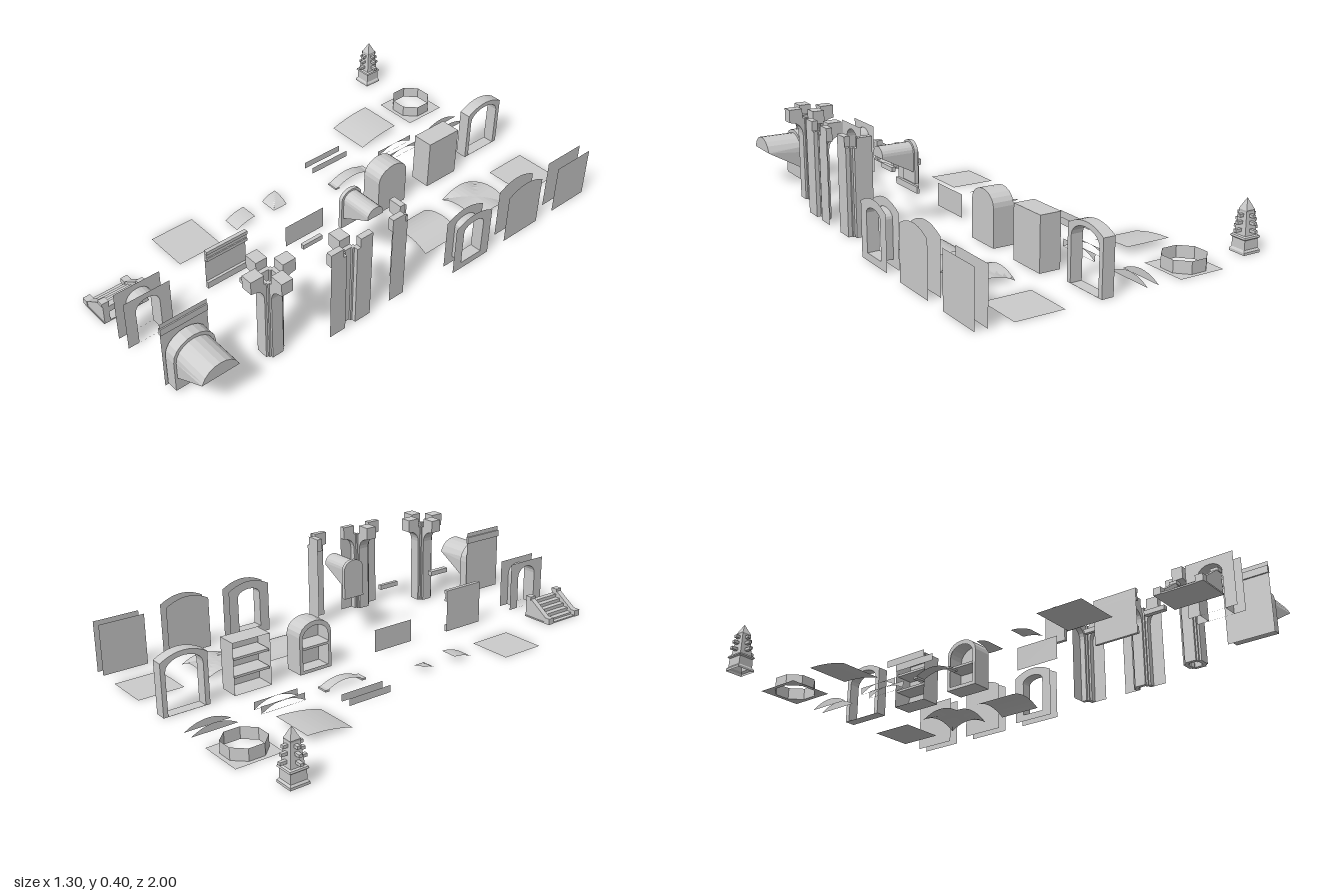
import * as THREE from 'three';

const mat = new THREE.MeshStandardMaterial({ color: 0xcccccc, flatShading: true, side: THREE.DoubleSide });

export function createModel() {
  const root = new THREE.Group();
  const add = (name, geo, x = 0, y = 0, z = 0) => {
    const m = new THREE.Mesh(geo, mat);
    m.name = name;
    m.position.set(x, y, z);
    root.add(m);
    return m;
  };
  // box given by its limits
  const box = (name, x0, x1, y0, y1, z0, z1) =>
    add(name, new THREE.BoxGeometry(x1 - x0, y1 - y0, z1 - z0), (x0 + x1) / 2, (y0 + y1) / 2, (z0 + z1) / 2);
  // outline with an arched top: width w, springing at s, crown at h
  const archPoints = (w, y0, s, h, n = 10) => {
    const p = [[-w / 2, y0], [w / 2, y0]];
    for (let i = 0; i <= n; i++) {
      const a = (i / n) * Math.PI;
      p.push([Math.cos(a) * w / 2, s + (h - s) * Math.sin(a)]);
    }
    return p.map(([a, b]) => new THREE.Vector2(a, b));
  };
  const arch = (...a) => new THREE.Shape(archPoints(...a));
  // shallow segmental top
  const segment = (w, y0, s, h, n = 10) => {
    const p = [new THREE.Vector2(-w / 2, y0), new THREE.Vector2(w / 2, y0)];
    for (let i = 0; i <= n; i++) {
      const t = 1 - 2 * i / n;
      p.push(new THREE.Vector2(t * w / 2, s + (h - s) * (1 - t * t)));
    }
    return new THREE.Shape(p);
  };
  const rect = (w, y0, y1) => segment(w, y0, y1, y1, 1);
  // flat wall facing x, drawn in z and y
  const pane = (name, shape, x, z) => add(name, new THREE.ShapeGeometry(shape).rotateY(-Math.PI / 2), x, 0, z);
  // solid drawn in z and y, running from x0 to x1
  const solidX = (name, shape, x0, x1, z) =>
    add(name, new THREE.ExtrudeGeometry(shape, { depth: x1 - x0, bevelEnabled: false }).rotateY(-Math.PI / 2), x1, 0, z);
  // horizontal sheet lifted by a height rule of u and v in -1..1
  const sheet = (name, x, z, w, d, rule = () => 0) => {
    const g = new THREE.PlaneGeometry(w, d, 10, 10).rotateX(-Math.PI / 2);
    const p = g.attributes.position;
    for (let i = 0; i < p.count; i++) p.setY(i, rule(p.getX(i) * 2 / w, p.getZ(i) * 2 / d));
    return add(name, g, x, 0, z);
  };

  // Spire: lathed square tower with spikes on three levels
  const profile = [[.04, 0], [.04, .01], [.034, .018], [.033, .055], [.039, .06], [.037, .067], [.029, .07], [.02, .16], [.021, .167], [0, .212]]
    .map(([r, y]) => new THREE.Vector2(r * Math.SQRT2, y));
  add('spire', new THREE.LatheGeometry(profile, 4).toNonIndexed().rotateY(Math.PI / 4), -.6, 0, -.9);
  [[.09, .055], [.12, .048], [.147, .04]].forEach(([y, r]) => {
    box('spireSpikes', -.6 - r, -.6 + r, y - .006, y + .006, -.907, -.893);
    box('spireSpikes', -.607, -.593, y - .006, y + .006, -.9 - r, -.9 + r);
  });

  // Dome base: plate with an octagonal hole and low drum
  const plate = new THREE.Shape([[-.1, -.1], [.1, -.1], [.1, .1], [-.1, .1]].map(p => new THREE.Vector2(...p)));
  const hole = [];
  for (let i = 0; i < 8; i++) {
    const a = (i + .5) * Math.PI / 4;
    hole.push(new THREE.Vector2(Math.cos(a) * .088, Math.sin(a) * .088));
  }
  plate.holes.push(new THREE.Path(hole));
  add('domeBasePlate', new THREE.ShapeGeometry(plate).rotateX(-Math.PI / 2), -.3, 0, -.9);
  add('domeDrum', new THREE.CylinderGeometry(.088, .088, .05, 8, 1, true).rotateY(Math.PI / 8), -.3, .025, -.9);

  // Ceilings, vaults and floor
  const curve = t => .03 * (1 - t * t);
  sheet('halfVault', -.3, -.6, .2, .2, (u, v) => curve((v + 1) / 2));
  sheet('flatCeiling', .4, -.9, .2, .2);
  sheet('groinVault', .4, -.6, .2, .2, (u, v) => Math.max(curve(u), curve(v)));
  sheet('barrelVault', .4, -.3, .2, .2, u => curve(u));
  sheet('floor', -.19, .49, .2, .2);
  sheet('smallVault', -.15, .24, .08, .095, (u, v) => .8 * curve((v + 1) / 2));
  sheet('smallVaultEnd', -.15, .057, .08, .07, (u, v) => .8 * Math.min(curve((v + 1) / 2), curve((u + 1) / 2)));

  // Low strips that close the wall tops
  for (const x of [-.1, -.05]) {
    pane('lunetteStrip', segment(.2, 0, 0, .03), x, -.9);
    const s = rect(.2, 0, .032), pts = [];
    for (let i = 0; i <= 10; i++) pts.push(new THREE.Vector2(-.099 + .0198 * i, .001 + .03 * (1 - (i / 5 - 1) ** 2)));
    s.holes.push(new THREE.Path(pts));
    pane('spandrelStrip', s, x, -.6);
    pane('straightStrip', rect(.2, 0, .03), x - .15, -.3);
  }
  sheet('archedCap', -.07, -.3, .05, .2, (u, v) => curve(v));
  for (const s of [-1, 1]) box('archedCapFoot', -.095, -.045, 0, .008, -.3 + s * .09 - .01, -.3 + s * .09 + .01);

  // Double walls: plain, arched, and arched with a window
  const windowWall = segment(.2, 0, .22, .25);
  windowWall.holes.push(new THREE.Path(archPoints(.11, .03, .185, .215)));
  for (const x of [.6, .65]) {
    pane('plainWall', rect(.2, 0, .22), x, -.9);
    pane('archedWall', segment(.2, 0, .22, .25), x, -.6);
    pane('windowWall', windowWall, x, -.3);
  }
  // open lining of an arched opening
  const lining = (name, pts, x0, x1, z, closed) => {
    const v = [], n = pts.length, at = (x, p) => [x, p.y, z + p.x];
    for (let i = closed ? 0 : 1; i < n; i++) {
      const a = pts[i], b = pts[(i + 1) % n];
      v.push(...at(x0, a), ...at(x1, a), ...at(x1, b), ...at(x0, a), ...at(x1, b), ...at(x0, b));
    }
    const g = new THREE.BufferGeometry();
    g.setAttribute('position', new THREE.Float32BufferAttribute(v, 3));
    g.computeVertexNormals();
    add(name, g);
  };
  lining('windowLining', archPoints(.11, .03, .185, .215), .6, .65, -.3, true);

  // Arched gateway
  const gate = segment(.2, 0, .22, .25);
  gate.holes.push(new THREE.Path(archPoints(.16, .0005, .18, .23)));
  solidX('gateway', gate, .1, .15, -.9);

  // Doorway: two walls and a lining
  const doorWall = rect(.2, 0, .22);
  doorWall.holes.push(new THREE.Path(archPoints(.105, .0005, .15, .195)));
  for (const x of [.1, .165]) pane('doorWall', doorWall, x, .9);
  lining('doorLining', archPoints(.105, 0, .15, .195), .1, .165, .9, false);

  // Shelf niches, open towards -x
  lining('shelfCase', [[-.085, 0], [.085, 0], [.085, .22], [-.085, .22]].map(p => new THREE.Vector2(...p)), .1, .19, -.605, true);
  pane('shelfBack', rect(.17, 0, .22), .19, -.605);
  for (const y of [.07, .145]) box('shelf', .105, .19, y, y + .01, -.685, -.525);
  lining('nicheCase', archPoints(.155, 0, .16, .22), .1, .19, -.305, true);
  pane('nicheBack', arch(.155, 0, .16, .22), .19, -.305);
  const nicheFront = arch(.155, 0, .16, .22);
  nicheFront.holes.push(new THREE.Path(archPoints(.125, .015, .15, .2)));
  pane('nicheFront', nicheFront, .1, -.305);
  box('nicheShelf', .105, .19, .1, .11, -.38, -.23);

  // Piers: arms flare into brackets, hollow and open at the top
  const armShape = new THREE.Shape();
  armShape.moveTo(.025, 0).lineTo(.042, 0).lineTo(.042, .29);
  armShape.quadraticCurveTo(.045, .34, .1, .345).lineTo(.1, .4).lineTo(.042, .4).lineTo(.042, .36).lineTo(.025, .36);
  const arm = (name, x, z, turn, lo, hi) => {
    const g = new THREE.ExtrudeGeometry(armShape, { depth: hi - lo, bevelEnabled: false, curveSegments: 6 });
    add(name, g.translate(0, 0, lo).rotateY(turn), x, 0, z);
  };
  const h = Math.PI / 2, w = .025;
  for (let i = 0; i < 4; i++) arm('crossPier', .5, .6, i * h, -w, w);
  arm('wallPier', .6, .3, h, -w, 0);
  arm('wallPier', .6, .3, 2 * h, -w, w);
  arm('wallPier', .6, .3, 3 * h, 0, w);
  arm('cornerPier', .6, 0, 2 * h, -w, 0);
  arm('cornerPier', .6, 0, 3 * h, 0, w);
  // inner corner shafts between the arms
  const shaft = (name, x, z) => box(name, x - .008, x + .008, 0, .36, z - .008, z + .008);
  for (const a of [-1, 1]) for (const b of [-1, 1]) shaft('crossPierShaft', .5 + a * .025, .6 + b * .025);
  for (const b of [-1, 1]) shaft('wallPierShaft', .575, .3 + b * .025);
  shaft('cornerPierShaft', .575, .025);
  // walls behind the piers
  for (const z of [.23, .37]) pane('pierWall', rect(.06, 0, .4), .6, z);
  pane('cornerWallSide', rect(.065, 0, .4), .6, .0675);
  add('cornerWallBack', new THREE.PlaneGeometry(.065, .4), .5325, .2, 0);

  // Bays: barrel roof with a sloping underside on an arched flange
  const bay = (name, x0, x1, z, width, top, lowIn, lowOut) => {
    const m = solidX(name, arch(width, lowIn, top - width * .45, top), x0, x1, z);
    const p = m.geometry.attributes.position;
    for (let i = 0; i < p.count; i++) {
      const t = (p.getX(i) + x1 - x0) / (x1 - x0);
      p.setY(i, Math.max(p.getY(i), lowIn + (lowOut - lowIn) * t));
    }
    m.geometry.computeVertexNormals();
  };
  bay('largeBay', .455, .607, .9, .16, .215, .07, .157);
  solidX('largeBayFrame', arch(.18, .012, .15, .23), .405, .455, .9);
  pane('largeBayWall', rect(.2, 0, .3), .4, .9);
  box('largeBayCornice', .393, .405, .25, .28, .8, 1);
  bay('smallBay', .318, .453, .047, .08, .342, .226, .298);
  solidX('smallBayFrame', arch(.1, .18, .31, .35), .302, .318, .047);

  // Low wall, moulded wall and cornice pieces
  pane('lowWall', rect(.2, 0, .1), .1, .1);
  pane('mouldedWall', rect(.195, 0, .19), .085, .49);
  [[.14, .155, .1], [.155, .175, .095], [.175, .19, .102], [0, .03, .097]].forEach(([a, b, x]) =>
    box('wallMoulding', .085, x, a, b, .3925, .5875));
  box('shortCornice', .302, .318, .18, .2, .195, .29);
  box('deepCornice', .302, .325, .18, .2, .49, .585);

  // Stairs with sloping side walls and corner posts
  for (let i = 0; i < 5; i++) {
    const x = -.125 + i * .025;
    box('stairTread', x, x + .025, .012 * i, .015 + .015 * i, .825, .975);
  }
  box('stairBase', -.145, 0, 0, .006, .8, 1);
  const side = new THREE.Shape([[-.14, 0], [0, 0], [0, .09], [-.028, .09], [-.14, .015]].map(p => new THREE.Vector2(...p)));
  for (const z of [.803, .972]) {
    add('stairSide', new THREE.ExtrudeGeometry(side, { depth: .025, bevelEnabled: false }), 0, 0, z);
    box('stairTopPost', -.03, 0, .085, .1, z - .003, z + .028);
    box('stairFootPost', -.148, -.12, 0, .028, z - .003, z + .028);
  }
  return root;
}
